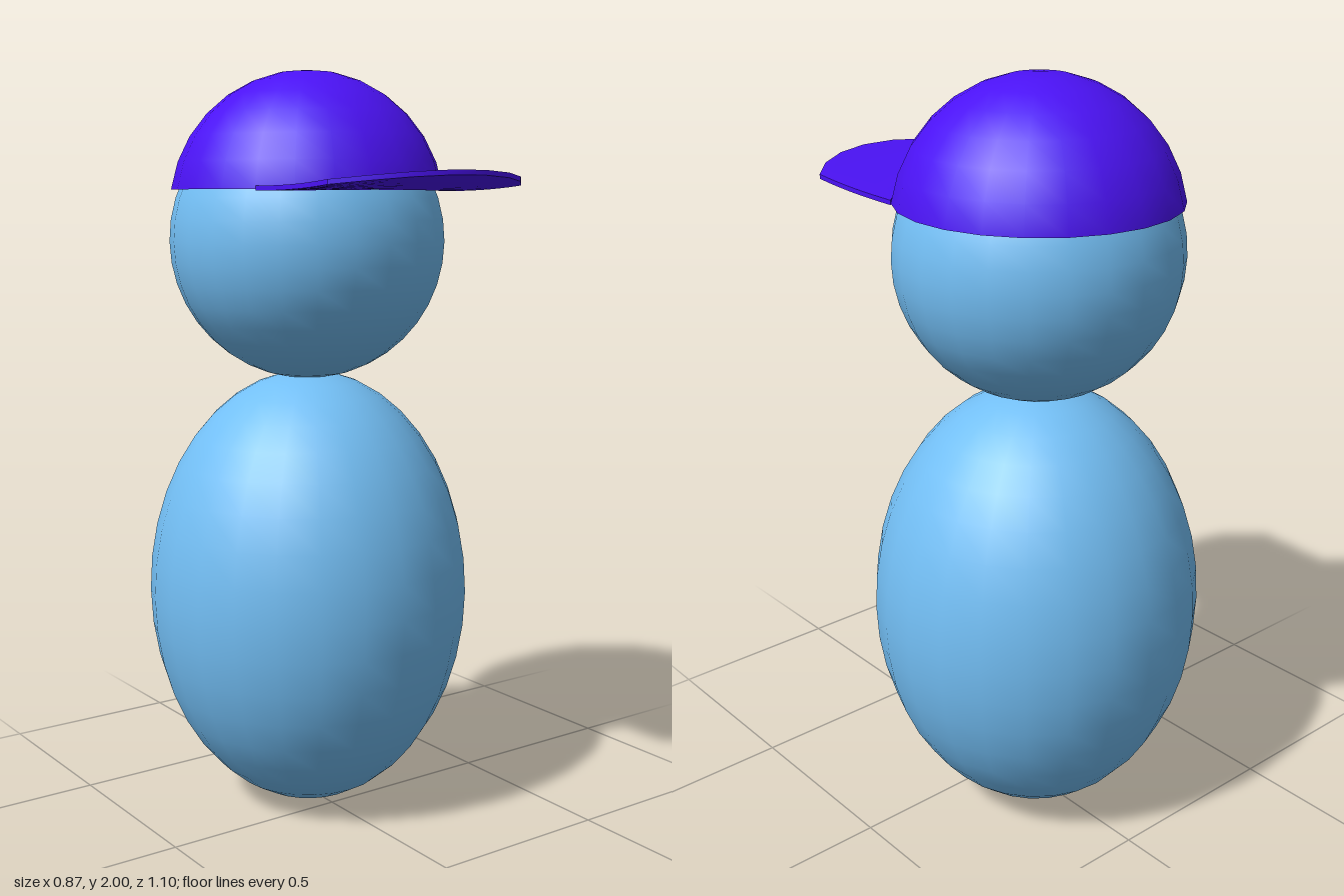
import * as THREE from 'three';

const SIDES = 23;          // sides of the cap
const CAP_R = 0.366;       // cap sphere radius
const CAP_ANGLE = 1.417;   // polar angle where the cap's rim lies
const RIM_R = CAP_R * Math.sin(CAP_ANGLE);
const CENTER_Z = -0.114;

const skin = new THREE.MeshStandardMaterial({ color: 0x73bff5 });
const cloth = new THREE.MeshStandardMaterial({ color: 0x4b12f5, side: THREE.DoubleSide });

function addPart(group, name, geometry, material, y) {
  const mesh = new THREE.Mesh(geometry, material);
  mesh.name = name;
  mesh.position.set(0, y, CENTER_Z);
  group.add(mesh);
  return mesh;
}

// Visor: a slab whose back follows seven sides of the rim and whose front is
// the same arc pushed forward, curling up towards the tip.
function visorGeometry() {
  const geometry = new THREE.BoxGeometry(2, 1, 1, 7, 1, 8);
  const p = geometry.attributes.position;
  for (let i = 0; i < p.count; i++) {
    const angle = p.getX(i) * 3.5 * (2 * Math.PI / SIDES);
    const forward = (p.getZ(i) + 0.5) * 0.305;
    const z = RIM_R * Math.cos(angle) + forward;
    const lift = 0.035 * Math.pow(Math.max(0, (z - 0.2) / 0.464), 2.5);
    p.setXYZ(i, RIM_R * Math.sin(angle), lift + p.getY(i) * 0.012, z);
  }
  geometry.computeVertexNormals();
  return geometry;
}

export function createModel() {
  const model = new THREE.Group();
  model.name = 'figure';

  // Egg-shaped body and round head
  const body = new THREE.SphereGeometry(1, 24, 20);
  body.scale(0.437, 0.603, 0.437);
  addPart(model, 'body', body, skin, 0.603);
  addPart(model, 'head', new THREE.SphereGeometry(0.368, 24, 20), skin, 1.555);

  // Cap: open dome with a visor at the front
  const cap = new THREE.Group();
  cap.name = 'cap';
  const dome = new THREE.SphereGeometry(CAP_R, SIDES, 7, -Math.PI / 2, Math.PI * 2, 0, CAP_ANGLE);
  addPart(cap, 'capDome', dome, cloth, 2 - CAP_R);
  addPart(cap, 'capVisor', visorGeometry(), cloth, 1.692);
  model.add(cap);

  return model;
}
